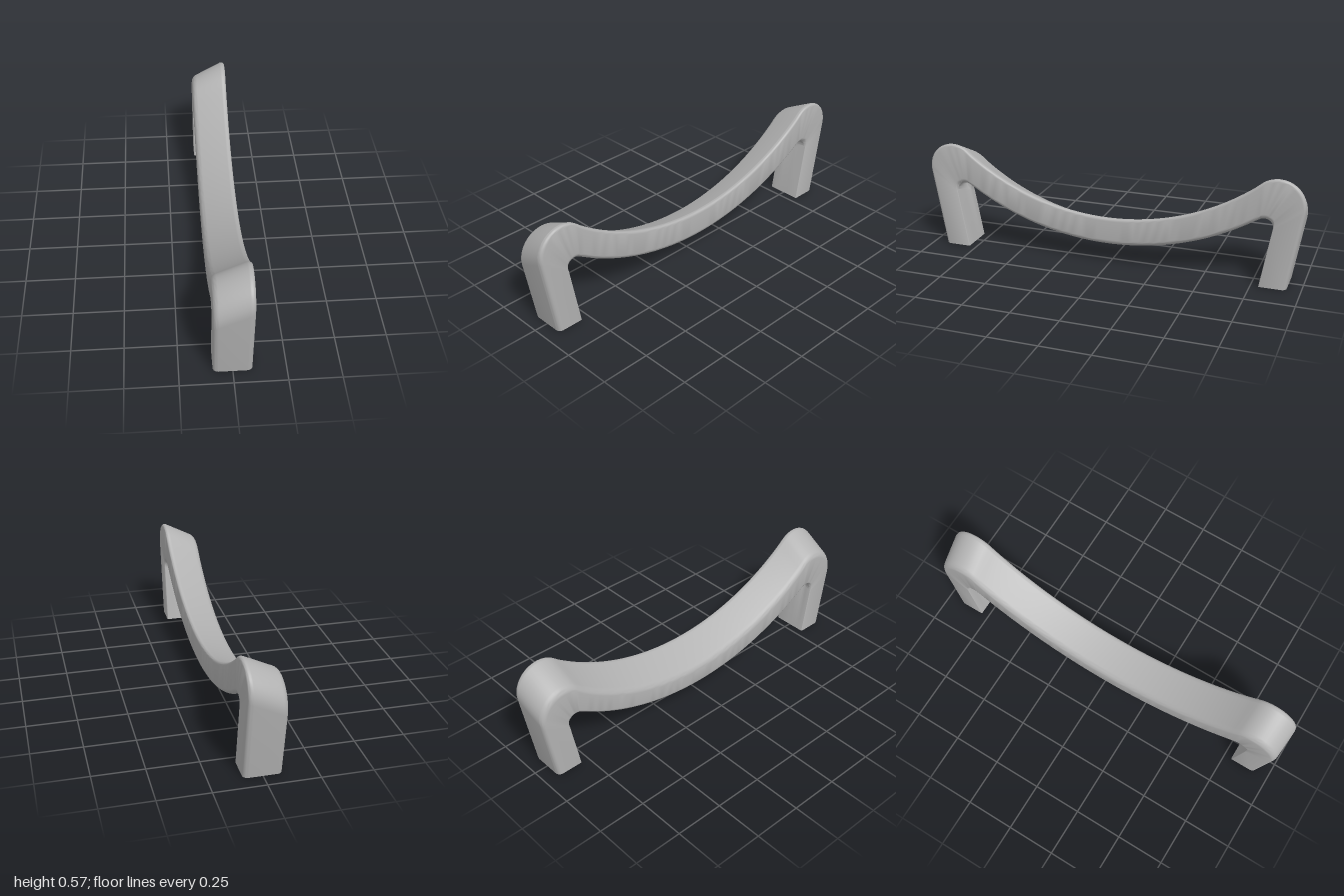
import * as THREE from 'three';
import { toCreasedNormals } from 'three/addons/utils/BufferGeometryUtils.js';

const HALF = 0.0925; // half the width in x
const V = (z, y) => new THREE.Vector2(z, y);

// Half outline in (z, y): foot, round corner, then the sagging arc to the middle
function halfOutline(foot, centre, r, start, end, bottom, R) {
  const pts = [foot];
  for (let i = 0; i <= 14; i++) {
    const a = THREE.MathUtils.lerp(start, end, i / 14);
    pts.push(V(centre.x + r * Math.cos(a), centre.y + r * Math.sin(a)));
  }
  const z0 = pts[pts.length - 1].x;
  for (let i = 1; i <= 28; i++) {
    const z = z0 * (1 - i / 28);
    pts.push(V(z, bottom + R - Math.sqrt(R * R - z * z)));
  }
  return pts;
}

// Add the mirrored half
const full = (half) => half.concat(half.slice(0, -1).reverse().map((p) => V(-p.x, p.y)));

// Cross-section points: [x, onOuterSide, inset], from the outer left-low edge round to the inner lip
function section(w) {
  const ring = [];
  const corner = (sx, outer, r, reverse) => {
    for (let k = 0; k <= 6; k++) {
      const a = ((reverse ? 6 - k : k) / 6) * Math.PI / 2;
      ring.push([sx * (HALF - r + r * Math.sin(a)), outer, r * (1 - Math.cos(a))]);
    }
  };
  const ri = 0.005 + 0.017 * w;
  corner(-1, true, 0.025, true);
  corner(1, true, 0.025, false);
  corner(1, false, ri, true);
  // finger recess with a lip along the low side
  for (const [x, d] of [[0.02, 0.016], [-0.015, 0.028], [-0.03, 0.032], [-0.038, 0.03],
    [-0.043, 0.022], [-0.048, 0.01], [-0.054, 0.003], [-0.062, 0]]) ring.push([x, false, d * w]);
  corner(-1, false, ri, false);
  return ring;
}

export function createModel() {
  const group = new THREE.Group();
  const grey = new THREE.MeshStandardMaterial({ color: 0xb2b2b2, side: THREE.DoubleSide });
  grey.name = 'satin grey';

  // Outlines on the high side (+x) and the low side (-x)
  const outerHigh = halfOutline(V(0.928, 0), V(0.865, 0.44), 0.135, -0.18, Math.PI / 2 + 0.674, 0.27, 1.25);
  const innerHigh = halfOutline(V(0.79, 0), V(0.80, 0.318), 0.045, -0.18, Math.PI / 2 + 0.588, 0.122, 1.395);
  const lower = (pts, dy, scale) => pts.map((p, i) => (i ? V(p.x * scale, p.y - dy) : p.clone()));
  const outerLow = full(lower(outerHigh, 0.0925, 0.985));
  const innerLow = full(lower(innerHigh, 0.056, 0.99));
  const outer = full(outerHigh), inner = full(innerHigh);

  // Sweep the section along the outlines
  const n = outer.length, pos = [], index = [], foot = [];
  let m = 0;
  for (let i = 0; i < n; i++) {
    const fromEnd = Math.min(i, n - 1 - i);
    const w = THREE.MathUtils.clamp((fromEnd - 1) / 4, 0, 1);
    const ring = section(w);
    m = ring.length;
    for (const [x, isOuter, inset] of ring) {
      const f = (x + HALF) / (2 * HALF);
      const o = outerLow[i].clone().lerp(outer[i], f);
      const q = innerLow[i].clone().lerp(inner[i], f);
      const dir = q.clone().sub(o).normalize();
      const p = isOuter ? o.addScaledVector(dir, inset) : q.addScaledVector(dir, -inset);
      pos.push(x, p.y, p.x);
      if (i === 0) foot.push(V(x, p.x));
    }
  }
  for (let i = 0; i < n - 1; i++) {
    for (let j = 0; j < m; j++) {
      const a = i * m + j, b = i * m + (j + 1) % m;
      index.push(a, b, a + m, b, b + m, a + m);
    }
  }
  const geo = new THREE.BufferGeometry();
  geo.setAttribute('position', new THREE.Float32BufferAttribute(pos, 3));
  geo.setIndex(index);
  const body = new THREE.Mesh(toCreasedNormals(geo, 0.7), grey);
  body.name = 'handleBody';
  group.add(body);

  // Feet with screw holes
  const holeR = 0.026, holeZ = 0.859, depth = 0.15;
  for (const s of [1, -1]) {
    const shape = new THREE.Shape(foot.map((p) => V(p.x, s * p.y)));
    const hole = new THREE.Path();
    hole.absarc(0, s * holeZ, holeR, 0, Math.PI * 2, true);
    shape.holes.push(hole);
    const sole = new THREE.Mesh(new THREE.ShapeGeometry(shape, 16).rotateX(Math.PI / 2), grey);
    sole.name = s > 0 ? 'frontFoot' : 'backFoot';
    const bore = new THREE.Mesh(new THREE.LatheGeometry([V(holeR, 0), V(holeR, depth), V(0.0001, depth)], 24), grey);
    bore.name = s > 0 ? 'frontScrewHole' : 'backScrewHole';
    bore.position.z = s * holeZ;
    group.add(sole, bore);
  }
  return group;
}
